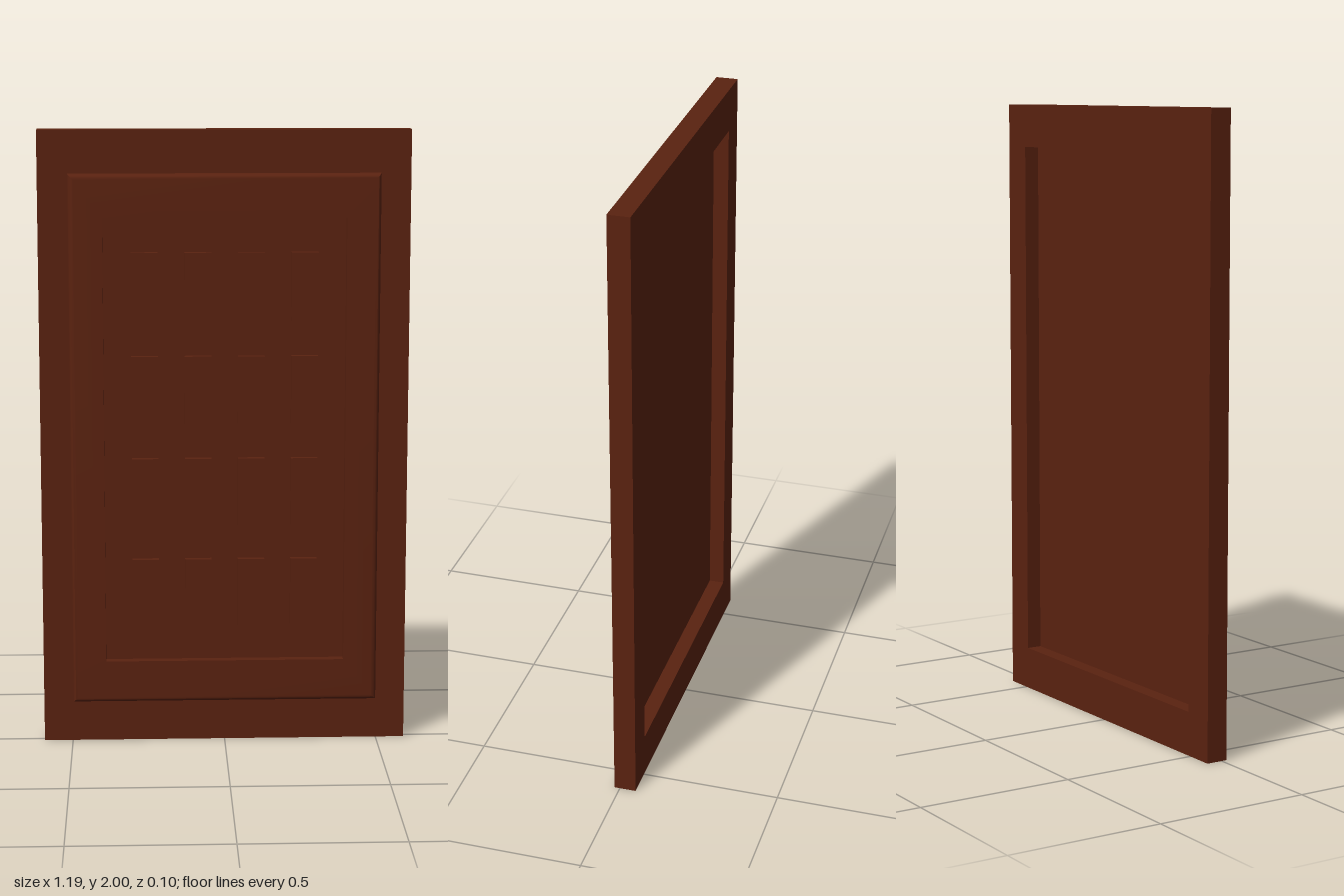
import * as THREE from 'three';
import { toCreasedNormals } from 'three/addons/utils/BufferGeometryUtils.js';

const CY = 1; // mid height of the door

function rect(target, w, h, reverse) {
  const p = [[-w, -h], [w, -h], [w, h], [-w, h]];
  if (reverse) p.reverse();
  target.setFromPoints(p.map(([x, y]) => new THREE.Vector2(x, y)));
  target.closePath();
  return target;
}

// Mitred rectangular moulding: each profile point is [half width, half height, z], outside to inside
function mitredRing(profile) {
  const corners = [[-1, -1], [1, -1], [1, 1], [-1, 1]];
  const pos = [];
  const at = ([w, h, z], c) => [corners[c % 4][0] * w, corners[c % 4][1] * h, z];
  for (let i = 0; i < profile.length - 1; i++) {
    for (let c = 0; c < 4; c++) {
      const a = at(profile[i], c), b = at(profile[i], c + 1);
      const d = at(profile[i + 1], c), e = at(profile[i + 1], c + 1);
      pos.push(...a, ...b, ...e, ...a, ...e, ...d);
    }
  }
  const g = new THREE.BufferGeometry();
  g.setAttribute('position', new THREE.Float32BufferAttribute(pos, 3));
  return toCreasedNormals(g, 0.6);
}

export function createModel() {
  const model = new THREE.Group();
  model.name = 'panelledDoor';
  const wood = new THREE.MeshStandardMaterial({ color: 0x5a2210 });
  wood.name = 'dark red wood';

  const add = (geometry, name, x, y, z, parent = model) => {
    const m = new THREE.Mesh(geometry, wood);
    m.name = name;
    m.position.set(x, y, z);
    parent.add(m);
    return m;
  };

  // Outer frame with an opening that reads as a recess from the back
  const frame = rect(new THREE.Shape(), 0.593, 1);
  frame.holes.push(rect(new THREE.Path(), 0.488, 0.86, true));
  add(new THREE.ExtrudeGeometry(frame, { depth: 0.071, bevelEnabled: false }), 'outerFrame', 0, CY, -0.053);

  // Thin panel closing the opening
  add(new THREE.BoxGeometry(0.976, 1.72, 0.023), 'centrePanel', 0, CY, 0.0085);

  // Raised moulding with a rounded outer edge and a square inner edge
  const r = 0.018, front = 0.05, w = 0.497, h = 0.863;
  const profile = [[w, h, 0.016]];
  for (let i = 0; i <= 6; i++) {
    const a = (i / 6) * Math.PI / 2;
    const inset = r * (1 - Math.cos(a));
    profile.push([w - inset, h - inset, front - r + r * Math.sin(a)]);
  }
  profile.push([0.388, 0.724, front], [0.388, 0.724, 0.018]);
  add(mitredRing(profile), 'moulding', 0, CY, 0);

  // Grid of small raised blocks
  const blocks = new THREE.Group();
  blocks.name = 'raisedBlocks';
  model.add(blocks);
  const block = new THREE.BoxGeometry(0.086, 0.222, 0.024);
  for (let row = 0; row < 4; row++) {
    for (let col = 0; col < 4; col++) {
      add(block, 'raisedBlock', (col - 1.5) * 0.171, CY + 0.003 + (row - 1.5) * 0.333, 0.03, blocks);
    }
  }
  return model;
}
